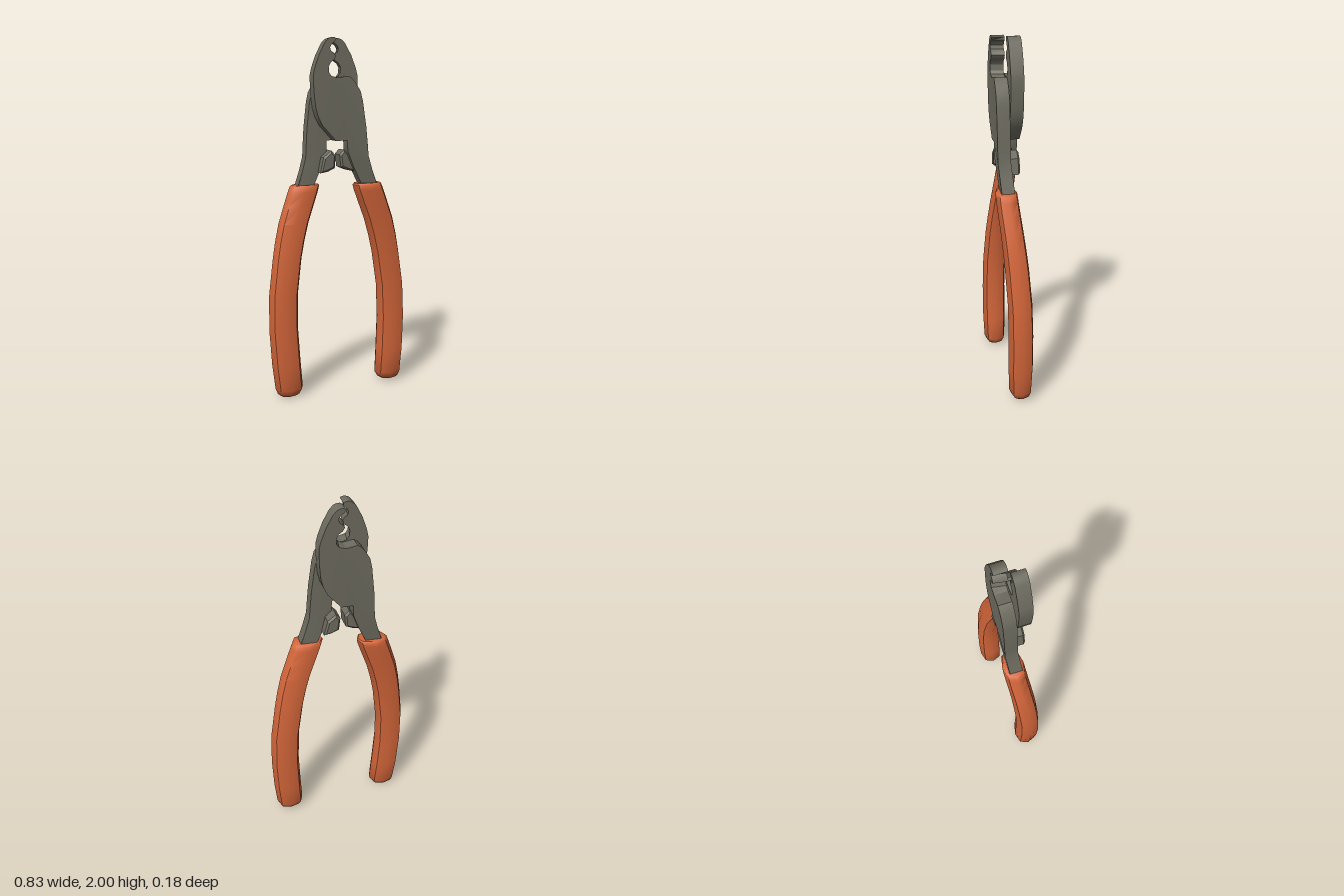
import * as THREE from 'three';
import { toCreasedNormals } from 'three/addons/utils/BufferGeometryUtils.js';

const metal = new THREE.MeshStandardMaterial({ color: 0x6e6c60 });
const rubber = new THREE.MeshStandardMaterial({ color: 0xd4663a });

// Flat plate cut from an outline, spanning z0..z1
function plate(points, z0, z1, bevel = 0) {
  const shape = new THREE.Shape(points.map(([x, y]) => new THREE.Vector2(x, y)));
  const geo = new THREE.ExtrudeGeometry(shape, {
    depth: z1 - z0 - 2 * bevel, bevelEnabled: bevel > 0,
    bevelThickness: bevel, bevelSize: bevel, bevelOffset: -bevel, bevelSegments: 1,
  });
  return geo.translate(0, 0, z0 + bevel);
}

// Jaw, pivot plate and shank in one piece
function bladeGeometry() {
  const outer = [
    [-0.03, 2.0], [-0.05, 1.993], [-0.07, 1.973], [-0.104, 1.91], [-0.13, 1.84], [-0.139, 1.8],
    [-0.138, 1.74], [-0.136, 1.7], [-0.129, 1.63], [-0.115, 1.58], [-0.093, 1.535], [-0.018, 1.45],
  ];
  const shank = [
    [0.047, 1.45], [0.049, 1.39], [0.065, 1.35], [0.085, 1.3], [0.138, 1.19], [0.175, 1.1],
    [0.255, 1.1], [0.228, 1.19], [0.195, 1.28], [0.171, 1.36], [0.166, 1.43], [0.159, 1.52],
    [0.141, 1.66], [0.128, 1.715], [0.1, 1.76], [0.082, 1.782], [0.059, 1.797],
  ];
  const cutter = [
    [-0.001, 1.787], [-0.025, 1.797], [-0.038, 1.815], [-0.04, 1.845], [-0.028, 1.868],
    [-0.008, 1.882], [0.002, 1.9], [-0.01, 1.918], [-0.026, 1.928], [-0.03, 1.947],
    [-0.02, 1.965], [-0.004, 1.976], [-0.004, 1.992], [-0.016, 1.999],
  ];
  const geo = plate([...outer, ...shank, ...cutter], 0.003, 0.073);
  const p = geo.attributes.position;
  for (let i = 0; i < p.count; i++) {
    const x = p.getX(i), y = p.getY(i), z = p.getZ(i);
    // bevel the cutting notches toward the outer face
    if (y > 1.795 && y < 1.98 && x > -0.045 && x < 0.01 && z > 0.05) p.setX(i, x - 0.012);
    // shank bends toward the middle plane
    if (y < 1.37) p.setZ(i, z - 0.014 * Math.min(1, (1.37 - y) / 0.18));
  }
  return toCreasedNormals(geo, 0.5);
}

// Octagonal sleeve lofted through rows of [y, x, z, half width, half depth]
function gripGeometry() {
  const rows = [
    [0.012, 0.315, -0.022, 0, 0], [0.012, 0.315, -0.022, 0.05, 0.038],
    [0.025, 0.313, -0.022, 0.066, 0.052], [0.055, 0.311, -0.022, 0.08, 0.065],
    [0.2, 0.323, -0.022, 0.083, 0.07], [0.4, 0.332, -0.021, 0.083, 0.07],
    [0.6, 0.326, -0.017, 0.083, 0.068], [0.8, 0.296, -0.005, 0.083, 0.066],
    [0.9, 0.275, 0.003, 0.085, 0.064], [1.0, 0.248, 0.012, 0.087, 0.062],
    [1.1, 0.211, 0.022, 0.088, 0.061], [1.17, 0.185, 0.028, 0.088, 0.06],
    [1.2, 0.175, 0.03, 0.086, 0.059], [1.208, 0.173, 0.03, 0.078, 0.052],
    [1.208, 0.173, 0.03, 0, 0],
  ];
  const sides = 8, pos = [], index = [];
  rows.forEach(([y, x, z, w, d], i) => {
    for (let j = 0; j < sides; j++) {
      const t = (j / sides) * Math.PI * 2;
      const k = j % 2 ? 1.07 : 1; // slightly squared octagon
      pos.push(x + w * k * Math.cos(t), y, z + d * k * Math.sin(t));
      if (i === rows.length - 1) continue;
      const a = i * sides + j, b = i * sides + (j + 1) % sides;
      index.push(a, a + sides, b, b, a + sides, b + sides);
    }
  });
  const geo = new THREE.BufferGeometry();
  geo.setAttribute('position', new THREE.Float32BufferAttribute(pos, 3));
  geo.setIndex(index);
  return toCreasedNormals(geo, 0.9);
}

// Chunky stop inside the shank
function stopGeometry() {
  const outline = [[0.015, 1.37], [0.022, 1.3], [0.06, 1.283], [0.105, 1.275], [0.085, 1.36], [0.04, 1.397]];
  return toCreasedNormals(plate(outline, -0.062, 0.04, 0.01), 0.4);
}

export function createModel() {
  const model = new THREE.Group();
  model.name = 'cutterPliers';
  const parts = [
    ['blade', bladeGeometry(), metal],
    ['stop', stopGeometry(), metal],
    ['grip', gripGeometry(), rubber],
  ];
  // The two halves are the same piece turned half a revolution
  ['frontHalf', 'rearHalf'].forEach((name, i) => {
    const half = new THREE.Group();
    half.name = name;
    half.rotation.y = i * Math.PI;
    for (const [part, geo, mat] of parts) {
      const mesh = new THREE.Mesh(geo, mat);
      mesh.name = part;
      half.add(mesh);
    }
    model.add(half);
  });
  // The pliers lean slightly to one side
  model.rotation.z = 0.019;
  model.position.set(0.005, -0.004, 0);
  const root = new THREE.Group();
  root.add(model);
  return root;
}
